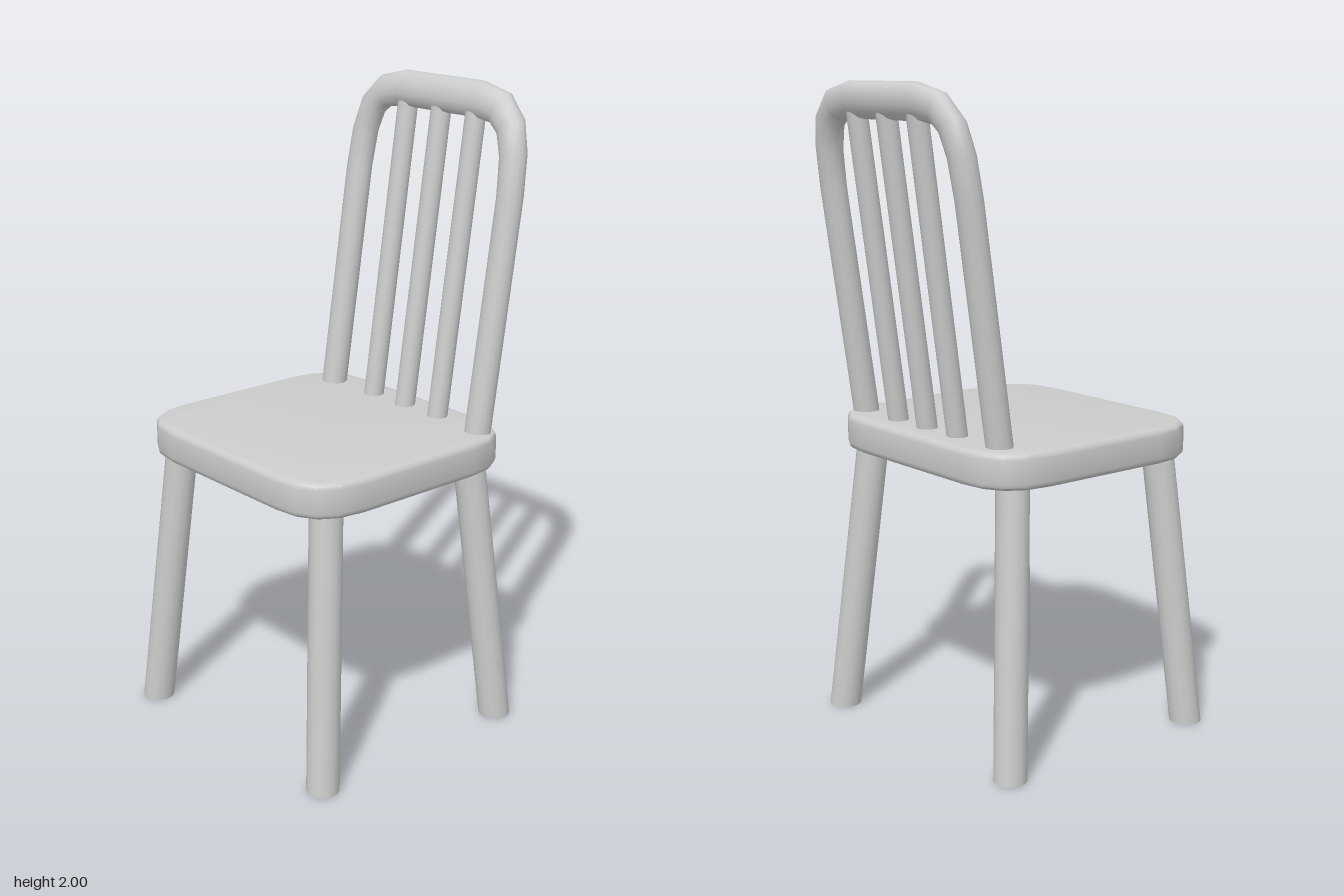
import * as THREE from 'three';
import { toCreasedNormals } from 'three/addons/utils/BufferGeometryUtils.js';

const material = new THREE.MeshStandardMaterial({ color: 0xcccccc });

function add(parent, name, geometry) {
  const mesh = new THREE.Mesh(geometry, material);
  mesh.name = name;
  parent.add(mesh);
  return mesh;
}

// Round bar sheared between two points, so both ends stay level
function strut(foot, top, radius) {
  const h = top[1] - foot[1];
  const g = new THREE.CylinderGeometry(radius, radius, h, 14);
  g.applyMatrix4(new THREE.Matrix4().set(
    1, (top[0] - foot[0]) / h, 0, (top[0] + foot[0]) / 2,
    0, 1, 0, (top[1] + foot[1]) / 2,
    0, (top[2] - foot[2]) / h, 1, (top[2] + foot[2]) / 2,
    0, 0, 0, 1));
  g.computeVertexNormals();
  return toCreasedNormals(g, 0.8);
}

// Seat slab with faceted round corners and a soft rim
function seatGeometry() {
  const w = 0.4025, d = 0.437, r = 0.185, bevel = 0.02, height = 0.11;
  const s = new THREE.Shape();
  s.moveTo(-w + r, -d);
  s.lineTo(w - r, -d);
  s.quadraticCurveTo(w, -d, w, -d + r);
  s.lineTo(w, d - r);
  s.quadraticCurveTo(w, d, w - r, d);
  s.lineTo(-w + r, d);
  s.quadraticCurveTo(-w, d, -w, d - r);
  s.lineTo(-w, -d + r);
  s.quadraticCurveTo(-w, -d, -w + r, -d);
  const g = new THREE.ExtrudeGeometry(s, {
    depth: height - 2 * bevel, bevelEnabled: true, bevelThickness: bevel,
    bevelSize: bevel, bevelOffset: -bevel, bevelSegments: 3, curveSegments: 4,
  });
  g.rotateX(-Math.PI / 2);
  g.translate(-0.037, 0.865 + bevel, 0.007);
  return toCreasedNormals(g, 0.6);
}

// The backrest leans towards +x as it rises
const backX = (y) => 0.268 + (y - 0.975) * 0.15;
const backZ = 0.034;

// Hoop swept along an arch, a little thicker across the top
function hoopGeometry() {
  // z offset, height, half width
  const half = [
    [0.334, 0.93, 0.042], [0.334, 1.68, 0.042], [0.325, 1.8, 0.044],
    [0.3, 1.88, 0.048], [0.25, 1.928, 0.052], [0.165, 1.945, 0.055],
  ];
  const path = [...half, ...half.map(([z, y, w]) => [-z, y, w]).reverse()];
  const sides = 14, positions = [], indices = [];
  path.forEach(([z, y, w], i) => {
    const a = path[Math.max(i - 1, 0)], b = path[Math.min(i + 1, path.length - 1)];
    const len = Math.hypot(b[0] - a[0], b[1] - a[1]);
    const nz = (b[1] - a[1]) / len, ny = -(b[0] - a[0]) / len;
    for (let j = 0; j < sides; j++) {
      const t = (j / sides) * Math.PI * 2, c = Math.cos(t) * w;
      const py = y + ny * c;
      positions.push(backX(py) + Math.sin(t) * 0.04, py, backZ + z + nz * c);
      if (i < path.length - 1) {
        const k = (j + 1) % sides, p = i * sides, q = p + sides;
        indices.push(p + j, p + k, q + k, p + j, q + k, q + j);
      }
    }
  });
  const g = new THREE.BufferGeometry();
  g.setAttribute('position', new THREE.Float32BufferAttribute(positions, 3));
  g.setIndex(indices);
  g.computeVertexNormals();
  return g;
}

export function createModel() {
  const chair = new THREE.Group();
  chair.name = 'chair';
  add(chair, 'seat', seatGeometry());

  // Splayed legs: foot x, z and top x, z
  const legs = new THREE.Group();
  legs.name = 'legs';
  chair.add(legs);
  [
    ['rightBackLeg', -0.41, -0.403, -0.34, -0.325],
    ['rightFrontLeg', -0.38, 0.402, -0.305, 0.33],
    ['leftBackLeg', 0.312, -0.403, 0.24, -0.325],
    ['leftFrontLeg', 0.345, 0.405, 0.27, 0.33],
  ].forEach(([name, fx, fz, tx, tz]) =>
    add(legs, name, strut([fx, 0, fz], [tx, 0.88, tz], 0.05)));

  // Backrest hoop and spindles
  const back = new THREE.Group();
  back.name = 'backrest';
  chair.add(back);
  add(back, 'hoop', hoopGeometry());
  [-0.148, 0, 0.148].forEach((dz, i) => {
    const z = backZ + 0.003 + dz;
    add(back, 'spindle' + (i + 1),
      strut([backX(0.93) + 0.007, 0.93, z], [backX(1.93), 1.93, z], 0.032));
  });
  return chair;
}
